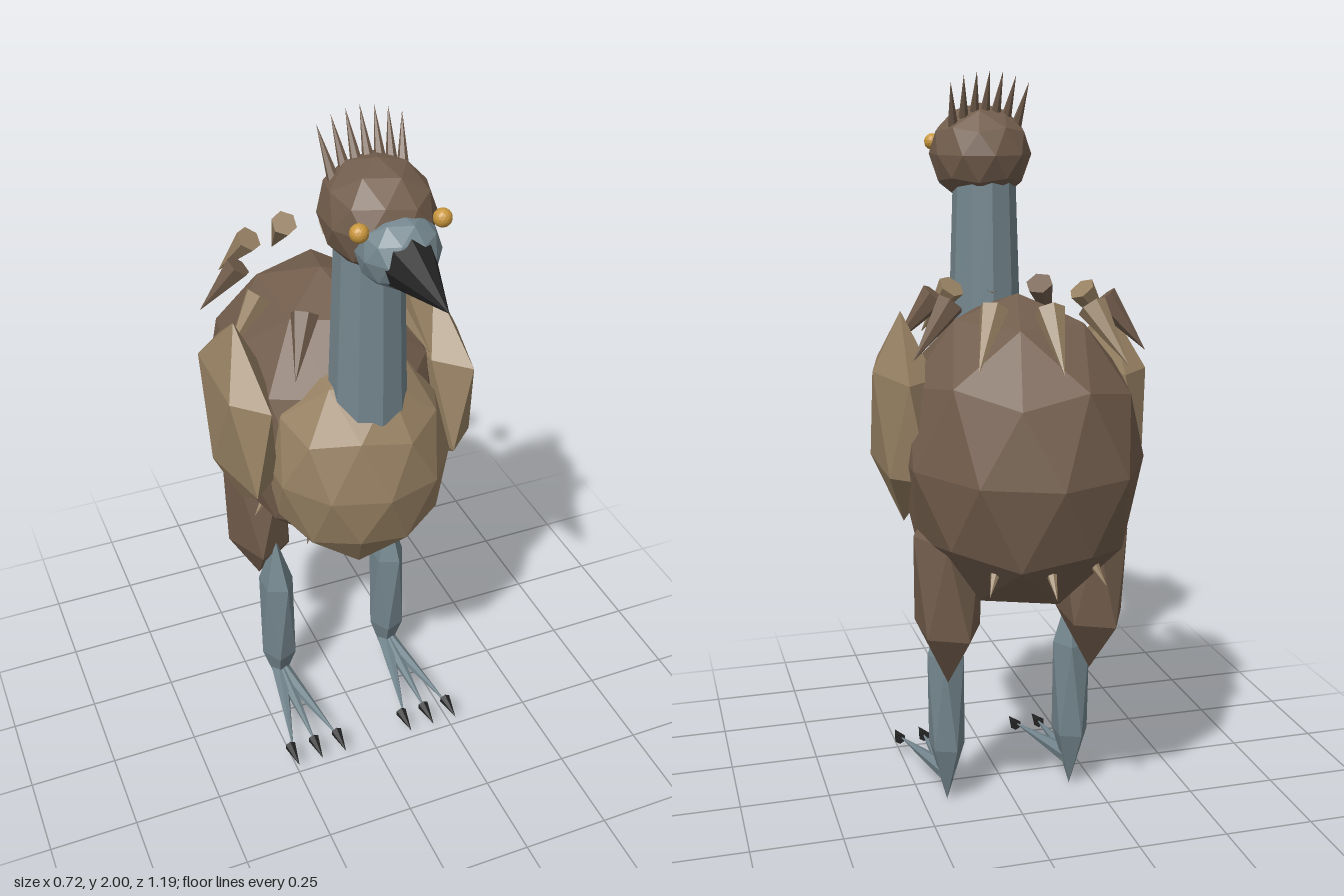
import * as THREE from 'three';

const mat = (name, color) => {
  const m = new THREE.MeshStandardMaterial({ color });
  m.name = name;
  return m;
};

export function createModel() {
  const group = new THREE.Group();
  const brown = mat('brown plumage', 0x735e4d);
  const tan = mat('tan plumage', 0x978163);
  const skin = mat('blue grey skin', 0x74868e);
  const horn = mat('black horn', 0x232323);
  const gold = mat('gold eye', 0xc8963c);

  // Faceted geometry: every triangle keeps its own normal
  const add = (name, geometry, material) => {
    const g = geometry.index ? geometry.toNonIndexed() : geometry;
    g.computeVertexNormals();
    const mesh = new THREE.Mesh(g, material);
    mesh.name = name;
    group.add(mesh);
    return mesh;
  };

  // Icosphere with a vertex at each pole, stretched to an ellipsoid
  const blob = (name, material, detail, center, radii) => {
    const g = new THREE.IcosahedronGeometry(1, detail);
    g.rotateX(-Math.atan2(0.8507, 0.5257));
    g.rotateY(Math.PI / 2);
    g.scale(...radii);
    g.translate(...center);
    return add(name, g, material);
  };

  // Cone from a base centre to a tip
  const spike = (name, material, base, tip, radius, sides = 6) => {
    const a = new THREE.Vector3(...base);
    const d = new THREE.Vector3(...tip).sub(a);
    const len = d.length();
    const g = new THREE.ConeGeometry(radius, len, sides);
    g.translate(0, len / 2, 0);
    g.applyQuaternion(new THREE.Quaternion().setFromUnitVectors(
      new THREE.Vector3(0, 1, 0), d.normalize()));
    g.translate(...base);
    return add(name, g, material);
  };

  // Torso
  blob('body', brown, 1, [0, 1.02, -0.18], [0.323, 0.42, 0.42]);
  blob('chest', tan, 1, [0, 1.0, 0.08], [0.255, 0.325, 0.24]);

  // Neck
  const neck = new THREE.CylinderGeometry(0.086, 0.104, 0.52, 10);
  neck.translate(0, 1.46, 0.15);
  add('neck', neck, skin);

  // Head
  blob('head', brown, 1, [0, 1.777, 0.195], [0.14, 0.137, 0.165]);
  blob('face', skin, 1, [0, 1.74, 0.32], [0.102, 0.093, 0.1]);
  spike('beak', horn, [0, 1.735, 0.35], [0, 1.718, 0.593], 0.078, 8);

  // Crest of fanned spikes
  for (let i = -3; i <= 3; i++) {
    const drop = 0.0035 * i * i;
    spike('crestSpike', brown, [i * 0.029, 1.875 - drop, 0.145],
      [i * 0.036, 2.0 - drop, 0.085], 0.016);
  }

  // Rings of loose feathers around the back and the belly
  const featherRing = (name, y, rx, rz, radius) => {
    for (let i = 0; i < 10; i++) {
      const a = (i / 10) * Math.PI * 2;
      const sx = Math.sin(a), cz = -Math.cos(a);
      spike(name, i % 3 === 1 || i === 0 || i === 9 ? tan : brown,
        [sx * rx, y, -0.19 + cz * rz],
        [sx * (rx + 0.11), y - 0.135, -0.19 + cz * (rz + 0.12)], radius);
    }
  };
  featherRing('backFeather', 1.435, 0.21, 0.27, 0.038);
  featherRing('bellyFeather', 0.865, 0.15, 0.23, 0.036);

  for (const s of [-1, 1]) {
    const side = s > 0 ? 'left' : 'right';
    blob(side + 'Eye', gold, 2, [s * 0.103, 1.806, 0.333], [0.023, 0.023, 0.023]);
    blob(side + 'Wing', tan, 0, [s * 0.285, 1.105, -0.07], [0.086, 0.285, 0.255]);
    blob(side + 'Thigh', brown, 0, [s * 0.2, 0.69, -0.213], [0.1, 0.29, 0.155]);
    blob(side + 'Leg', skin, 0, [s * 0.181, 0.305, -0.107], [0.058, 0.305, 0.071]);

    // Three toes spreading forward, each with a claw
    for (let t = -1; t <= 1; t++) {
      const x = s * 0.181 + t * 0.074;
      spike(side + 'Toe', skin, [s * 0.181, 0.088, -0.11], [x, 0.054, 0.22], 0.027);
      spike(side + 'Claw', horn, [x, 0.056, 0.19], [x, 0.05, 0.268], 0.017);
    }
  }

  return group;
}
